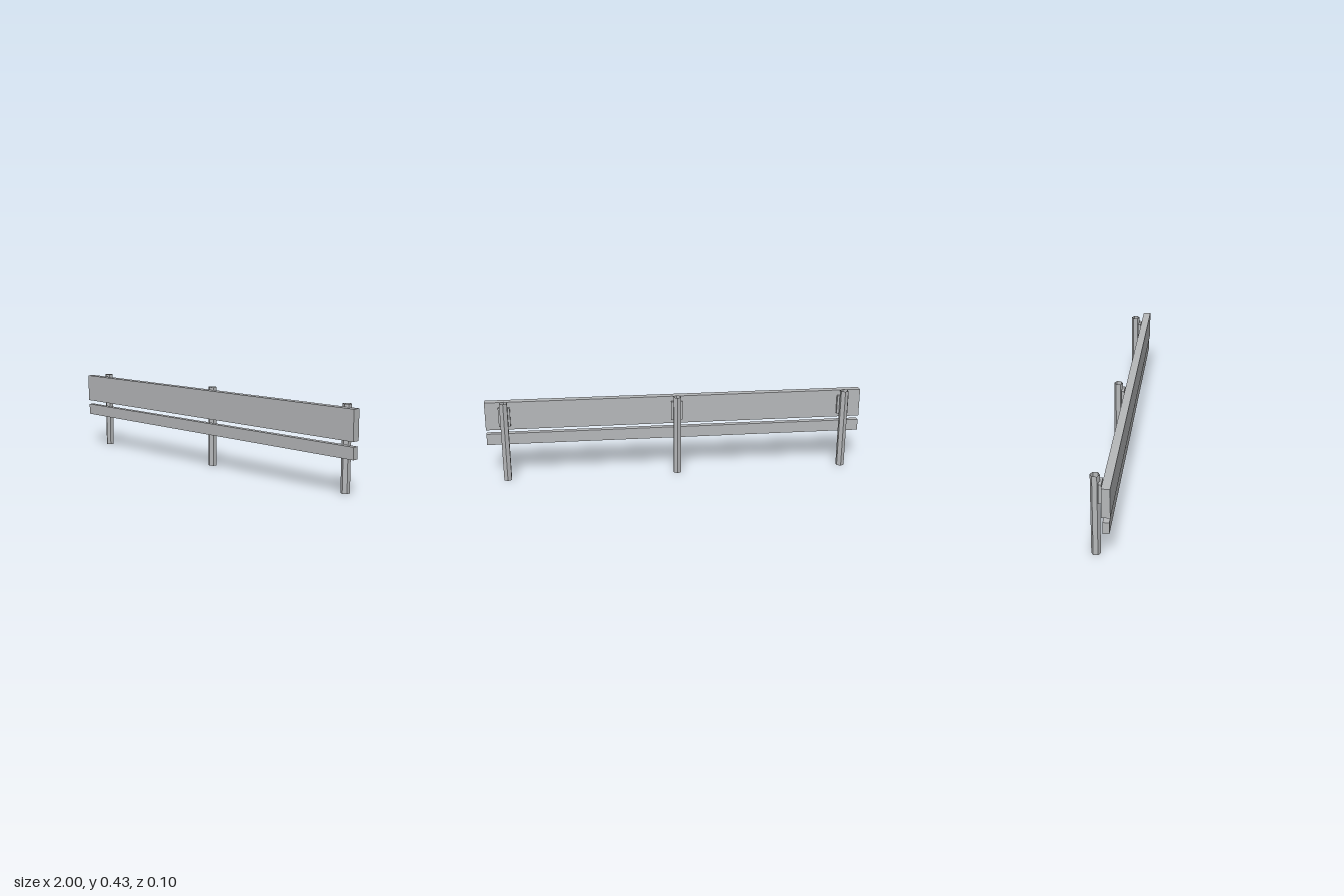
import * as THREE from 'three';

export function createModel() {
  const model = new THREE.Group();
  model.name = 'guardRail';

  const steel = new THREE.MeshStandardMaterial({
    color: 0xb6b8ba, flatShading: true, side: THREE.DoubleSide,
  });
  steel.name = 'galvanised grey';

  function add(name, geometry, x, y, z) {
    const mesh = new THREE.Mesh(geometry, steel);
    mesh.name = name;
    mesh.position.set(x, y, z);
    model.add(mesh);
  }

  // Long horizontal planks
  add('upperRail', new THREE.BoxGeometry(2, 0.15, 0.04), 0, 0.341, 0.032);
  add('lowerRail', new THREE.BoxGeometry(2, 0.06, 0.03), 0, 0.2115, 0.0325);

  // Open hexagonal posts, each with a spacer plate in front
  const postGeometry = new THREE.CylinderGeometry(0.0225, 0.0225, 0.425, 6, 1, true);
  const plateGeometry = new THREE.BoxGeometry(0.06, 0.1, 0.015);
  [['right', -0.9], ['middle', 0], ['left', 0.9]].forEach(([side, x]) => {
    add(side + 'Post', postGeometry, x, 0.2125, -0.028);
    add(side + 'SpacerPlate', plateGeometry, x, 0.341, -0.0035);
  });

  return model;
}
